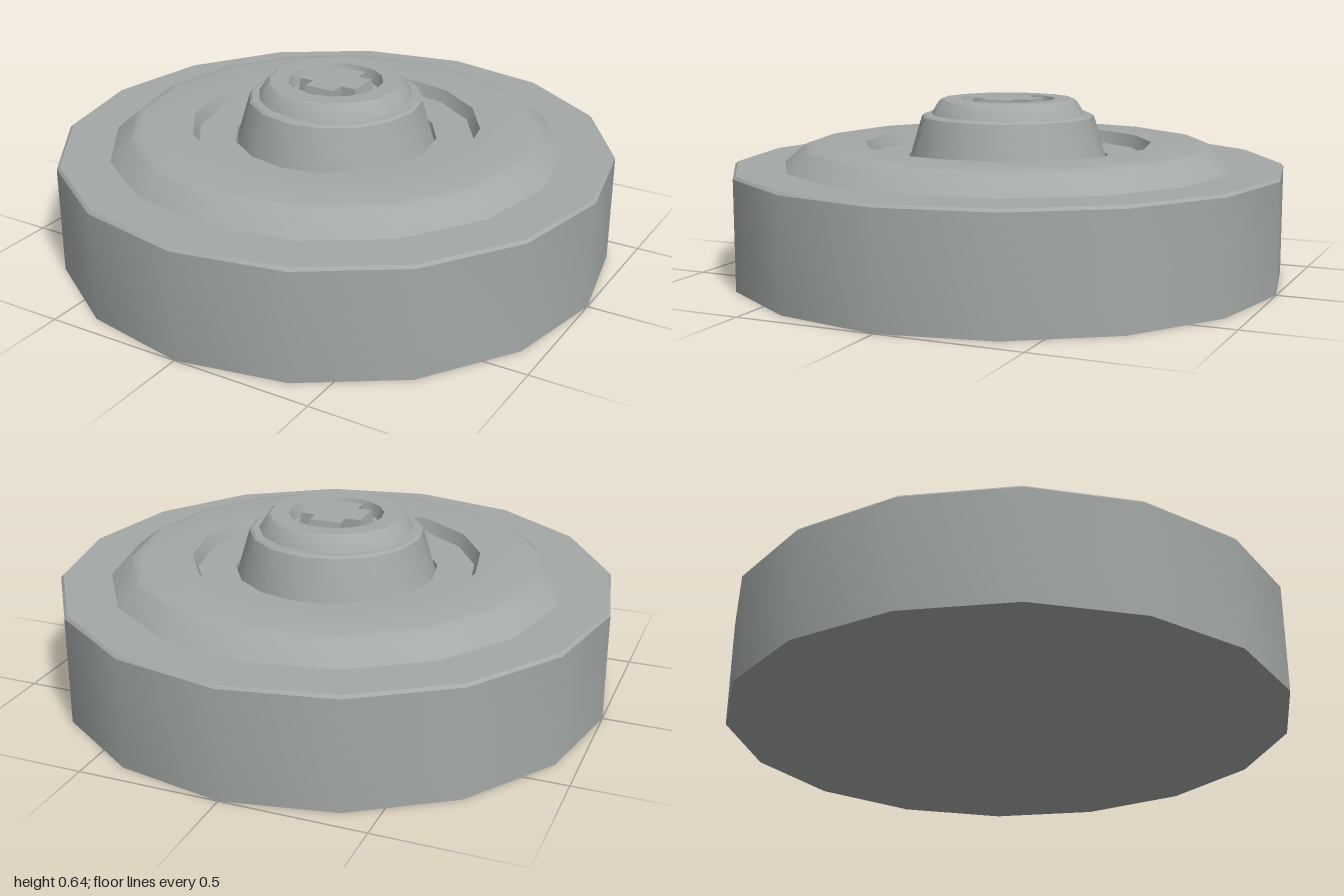
import * as THREE from 'three';
import { toCreasedNormals } from 'three/addons/utils/BufferGeometryUtils.js';

const SIDES = 16;

export function createModel() {
  const group = new THREE.Group();
  const grey = new THREE.MeshStandardMaterial({ color: 0xa3a9a7 });
  grey.name = 'grey';

  function add(name, geometry) {
    const mesh = new THREE.Mesh(geometry, grey);
    mesh.name = name;
    group.add(mesh);
    return mesh;
  }

  // Turned part: smooth around the axis, sharp at profile corners
  function turned(name, profile) {
    const points = profile.map(([r, y]) => new THREE.Vector2(r, y));
    return add(name, toCreasedNormals(new THREE.LatheGeometry(points, SIDES), 0.5));
  }

  // Wide base disc with a narrow bevel on its top edge
  turned('baseDisc', [[0, 0], [1, 0], [1, 0.39], [0.99, 0.4], [0.81, 0.4]]);

  // Raised ring with sloped outside, and the groove inside it
  turned('raisedRing', [
    [0.815, 0.4], [0.745, 0.461], [0.73, 0.47], [0.705, 0.475],
    [0.52, 0.475], [0.5, 0.43], [0.365, 0.43], [0.36, 0.41], [0.352, 0.41],
  ]);

  // Stepped central boss with a round recess in its top
  turned('centreBoss', [
    [0.36, 0.41], [0.312, 0.572], [0.302, 0.579], [0.278, 0.58],
    [0.25, 0.625], [0.238, 0.634], [0.17, 0.634], [0.155, 0.59], [0, 0.59],
  ]);

  // Raised cross in the recess, with slightly tapered arm ends
  const a = 0.12, b = 0.058;
  const cross = new THREE.Shape([
    [b, a], [-b, a], [-b, b], [-a, b], [-a, -b], [-b, -b],
    [-b, -a], [b, -a], [b, -b], [a, -b], [a, b], [b, b],
  ].map(([x, y]) => new THREE.Vector2(x, y)));
  const crossGeometry = new THREE.ExtrudeGeometry(cross, { depth: 0.047, bevelEnabled: false });
  crossGeometry.rotateX(-Math.PI / 2).translate(0, 0.59, 0);
  const p = crossGeometry.attributes.position;
  for (let i = 0; i < p.count; i++) {
    if (p.getY(i) < 0.6) continue;
    if (Math.abs(p.getX(i)) > 0.1) p.setX(i, Math.sign(p.getX(i)) * 0.112);
    if (Math.abs(p.getZ(i)) > 0.1) p.setZ(i, Math.sign(p.getZ(i)) * 0.112);
  }
  crossGeometry.computeVertexNormals();
  add('cross', crossGeometry);

  return group;
}
